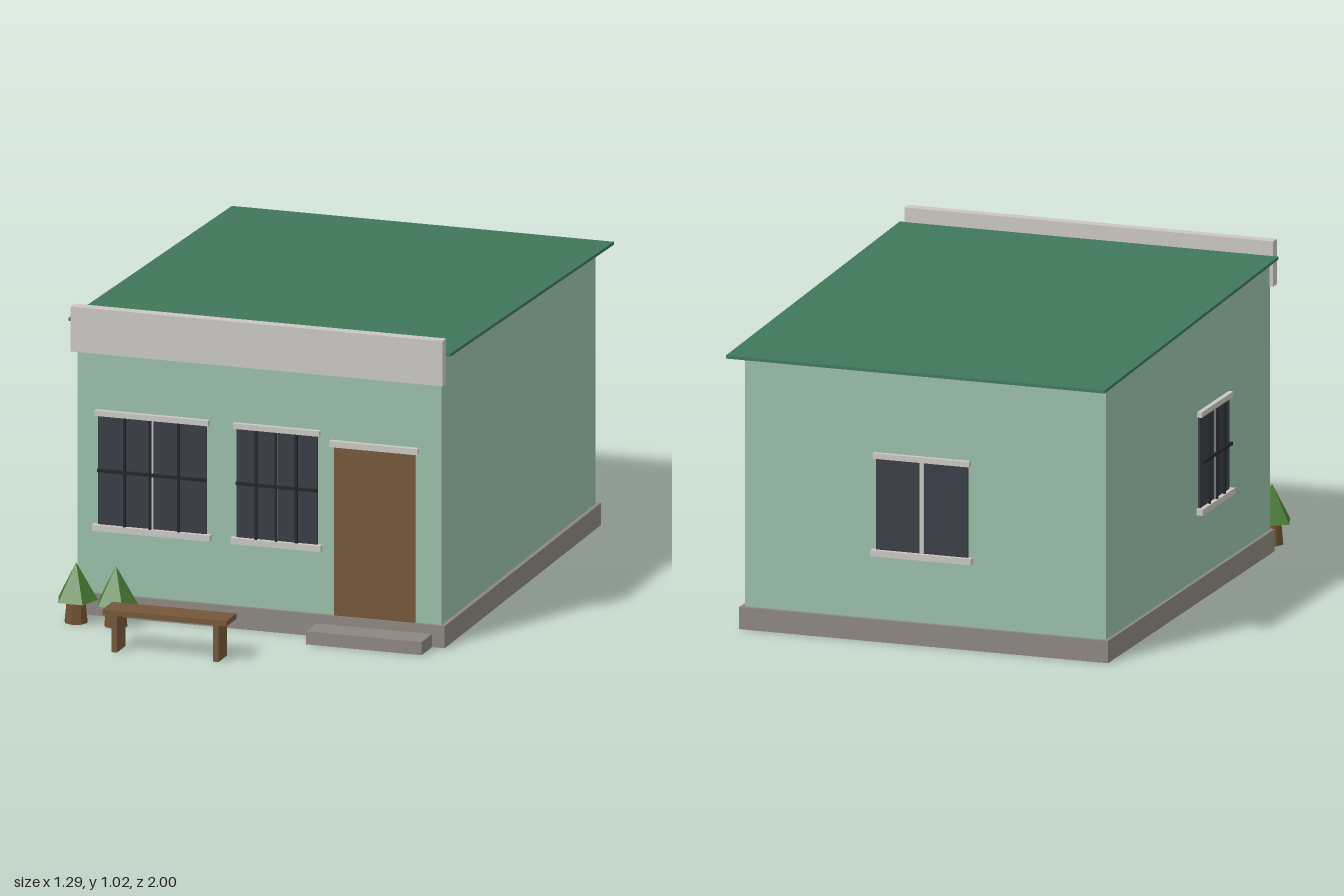
import * as THREE from 'three';

const mat = (name, color, flatShading = false) => {
  const m = new THREE.MeshStandardMaterial({ color, flatShading });
  m.name = name;
  return m;
};

export function createModel() {
  const M = {
    wall: mat('wallGreen', 0x98bfa8),
    roof: mat('roofGreen', 0x40775a),
    trim: mat('trimGrey', 0xcac7c2),
    stone: mat('stoneGrey', 0x8c8680),
    wood: mat('wood', 0x75563a),
    glass: mat('darkGlass', 0x383c44),
    bar: mat('barBlack', 0x202328),
    leaf: mat('leafGreen', 0x4b7d37, true),
  };
  const root = new THREE.Group();
  root.name = 'smallShop';

  // Box from its limits on each axis
  const box = (name, m, [x0, x1], [y0, y1], [z0, z1], parent = root) => {
    const mesh = new THREE.Mesh(new THREE.BoxGeometry(x1 - x0, y1 - y0, z1 - z0), m);
    mesh.position.set((x0 + x1) / 2, (y0 + y1) / 2, (z0 + z1) / 2);
    mesh.name = name;
    parent.add(mesh);
    return mesh;
  };

  // Side profile in (z, y), extruded along x
  const sideProfile = (name, m, points, x0, x1) => {
    const shape = new THREE.Shape(points.map(([z, y]) => new THREE.Vector2(-z, y)));
    const geo = new THREE.ExtrudeGeometry(shape, { depth: x1 - x0, bevelEnabled: false });
    geo.rotateY(Math.PI / 2);
    geo.translate(x0, 0, 0);
    const mesh = new THREE.Mesh(geo, m);
    mesh.name = name;
    root.add(mesh);
  };

  // Building shell
  box('foundation', M.stone, [-0.623, 0.63], [0, 0.073], [-0.92, 0.606]);
  box('doorStep', M.stone, [0.198, 0.587], [0, 0.043], [0.606, 0.706]);
  sideProfile('walls', M.wall,
    [[0.594, 0.073], [-0.906, 0.073], [-0.906, 0.911], [0.594, 0.964]], -0.611, 0.616);
  sideProfile('roof', M.roof,
    [[0.594, 0.964], [-1, 0.908], [-1, 0.918], [0.594, 0.974]], -0.641, 0.646);
  box('parapet', M.trim, [-0.623, 0.63], [0.873, 1.022], [0.592, 0.628]);

  // Door
  box('door', M.wood, [0.255, 0.528], [0.073, 0.632], [0.592, 0.601]);
  box('doorLintel', M.trim, [0.243, 0.54], [0.632, 0.652], [0.592, 0.612]);

  // Window facing +z, with its sill line at the group origin
  const addWindow = (name, w, h, { barred = true, shift = 0, mullion = 0.008 } = {}) => {
    const g = new THREE.Group();
    g.name = name;
    const a = w / 2;
    box('glass', M.glass, [-a, a], [0, h], [-0.002, 0.007], g);
    box('mullion', M.trim, [-mullion / 2, mullion / 2], [0, h], [0.007, 0.011], g);
    box('lintel', M.trim, [-a - 0.009, a + 0.009], [h, h + 0.018], [-0.002, 0.016], g);
    box('sill', M.trim, [-a - 0.016, a + 0.016], [-0.02, 0], [-0.002, 0.021], g);
    if (barred) {
      for (const i of [-1, 0, 1]) {
        const x = i * w / 4 + (i ? 0 : shift);
        box('verticalBar', M.bar, [x - 0.004, x + 0.004], [0, h], [0.011, 0.018], g);
      }
      box('crossBar', M.bar, [-a, a], [h / 2 - 0.005, h / 2 + 0.005], [0.011, 0.018], g);
    }
    root.add(g);
    return g;
  };
  addWindow('largeFrontWindow', 0.365, 0.36, { shift: -0.005 }).position.set(-0.357, 0.302, 0.594);
  addWindow('smallFrontWindow', 0.272, 0.36).position.set(0.063, 0.302, 0.594);
  const sideWindow = addWindow('sideWindow', 0.27, 0.3);
  sideWindow.position.set(-0.611, 0.302, 0.073);
  sideWindow.rotation.y = -Math.PI / 2;
  const backWindow = addWindow('backWindow', 0.31, 0.3, { barred: false, mullion: 0.014 });
  backWindow.position.set(0.012, 0.302, -0.906);
  backWindow.rotation.y = Math.PI;

  // Bench
  const bench = new THREE.Group();
  bench.name = 'bench';
  root.add(bench);
  box('benchSeat', M.wood, [-0.387, 0.031], [0.122, 0.14], [0.904, 1], bench);
  for (const x of [-0.349, -0.007]) {
    box('benchLeg', M.wood, [x - 0.009, x + 0.009], [0, 0.122], [0.91, 0.994], bench);
  }

  // Potted trees: five-sided crowns on tapered pots
  const potMaterial = mat('potWood', 0x70502f, true);
  for (const x of [-0.581, -0.447]) {
    const tree = new THREE.Group();
    tree.name = 'pottedTree';
    tree.position.set(x, 0, 0.695);
    const pot = new THREE.Mesh(new THREE.CylinderGeometry(0.031, 0.039, 0.08, 8), potMaterial);
    pot.name = 'pot';
    pot.position.y = 0.04;
    const crown = new THREE.Mesh(new THREE.ConeGeometry(0.07, 0.124, 5), M.leaf);
    crown.name = 'crown';
    crown.position.y = 0.135;
    crown.rotation.y = Math.PI;
    tree.add(pot, crown);
    root.add(tree);
  }
  return root;
}
